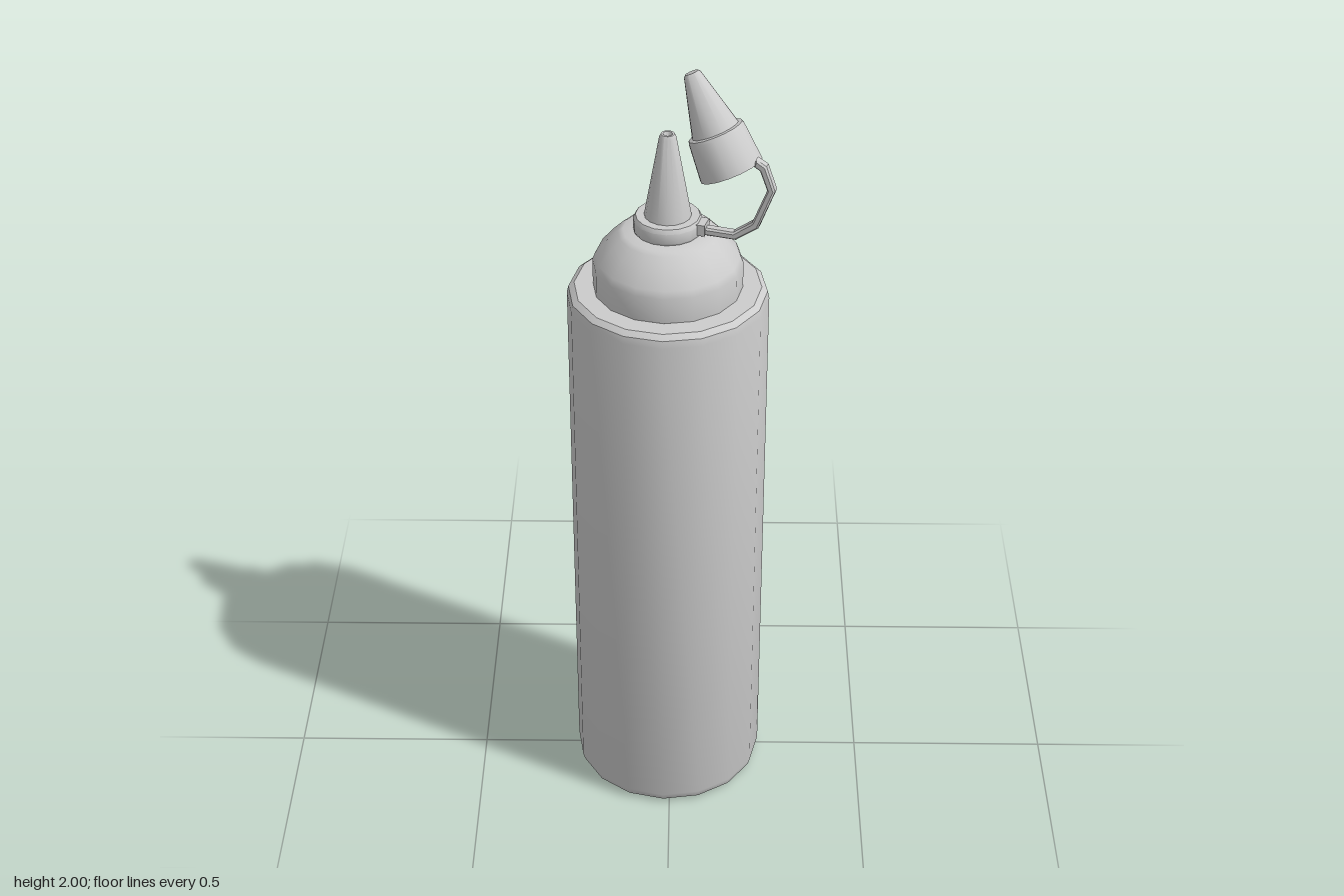
import * as THREE from 'three';
import { toCreasedNormals } from 'three/addons/utils/BufferGeometryUtils.js';

const SIDES = 16;
const AXIS_X = -0.006;

export function createModel() {
  const model = new THREE.Group();
  model.name = 'squeezeBottle';
  const material = new THREE.MeshStandardMaterial({ color: 0xcccccc });

  function add(name, geometry, crease = 0.6) {
    const mesh = new THREE.Mesh(toCreasedNormals(geometry, crease), material);
    mesh.name = name;
    model.add(mesh);
    return mesh;
  }

  // Turned part from [radius, height] pairs, listed from the bottom outwards and up
  function turned(name, profile) {
    const points = profile.map(([r, y]) => new THREE.Vector2(r, y));
    const mesh = add(name, new THREE.LatheGeometry(points, SIDES, -0.04));
    mesh.position.x = AXIS_X;
    return mesh;
  }

  // Cylinder body with softened rims
  turned('body', [
    [0, 0], [0.226, 0], [0.237, 0.01], [0.242, 0.028],
    [0.242, 1.42], [0.238, 1.438], [0.224, 1.449], [0.15, 1.45],
  ]);

  // Screw lid: straight band, then a sloped shoulder
  turned('lid', [
    [0.165, 1.44], [0.179, 1.45], [0.179, 1.515], [0.172, 1.532],
    [0.142, 1.568], [0.118, 1.592], [0.106, 1.6], [0.06, 1.6],
  ]);

  // Strap ring round the foot of the nozzle
  turned('strapRing', [
    [0.078, 1.598], [0.082, 1.605], [0.082, 1.63], [0.076, 1.64], [0.05, 1.64],
  ]);

  // Tapered nozzle with a small dimple at the mouth
  turned('nozzle', [
    [0.057, 1.63], [0.055, 1.645], [0.02, 1.842], [0.016, 1.85], [0.011, 1.85], [0, 1.82],
  ]);

  // Hollow cap, tipped open: inner wall first, then the skirt, step and cone
  const cap = turned('cap', [
    [0, 0.21], [0.046, 0.098], [0.06, 0.09], [0.068, 0], [0.077, 0],
    [0.069, 0.09], [0.066, 0.098], [0.057, 0.1], [0.021, 0.237], [0.016, 0.243], [0, 0.243],
  ]);
  const capBase = new THREE.Vector3(0.14, 1.775, 0.032);
  const capTip = new THREE.Vector3(0.048, 1.992, -0.022);
  cap.position.copy(capBase);
  cap.quaternion.setFromUnitVectors(
    new THREE.Vector3(0, 1, 0), capTip.sub(capBase).normalize());

  // Strap: bent ribbon in an upright plane, [distance from axis, height]
  const outer = [[0.07, 1.605], [0.168, 1.605], [0.222, 1.645], [0.26, 1.747], [0.238, 1.808], [0.213, 1.822]];
  const inner = [[0.208, 1.803], [0.223, 1.794], [0.241, 1.747], [0.207, 1.658], [0.162, 1.624], [0.07, 1.624]];
  const ribbon = new THREE.Shape([...outer, ...inner].map(([r, y]) => new THREE.Vector2(r, y)));
  const strapGeometry = new THREE.ExtrudeGeometry(ribbon, {
    depth: 0.016, bevelEnabled: true, bevelSegments: 1,
    bevelThickness: 0.005, bevelSize: 0.004, bevelOffset: -0.004,
  });
  strapGeometry.translate(0, 0, -0.008);
  const strap = add('strap', strapGeometry);
  strap.position.x = AXIS_X;
  strap.rotation.y = -0.3;

  // Tab joining the strap to its ring
  const tab = add('strapTab', new THREE.BoxGeometry(0.035, 0.028, 0.04).translate(0.078, 1.621, 0));
  tab.position.x = AXIS_X;
  tab.rotation.y = -0.3;

  return model;
}
